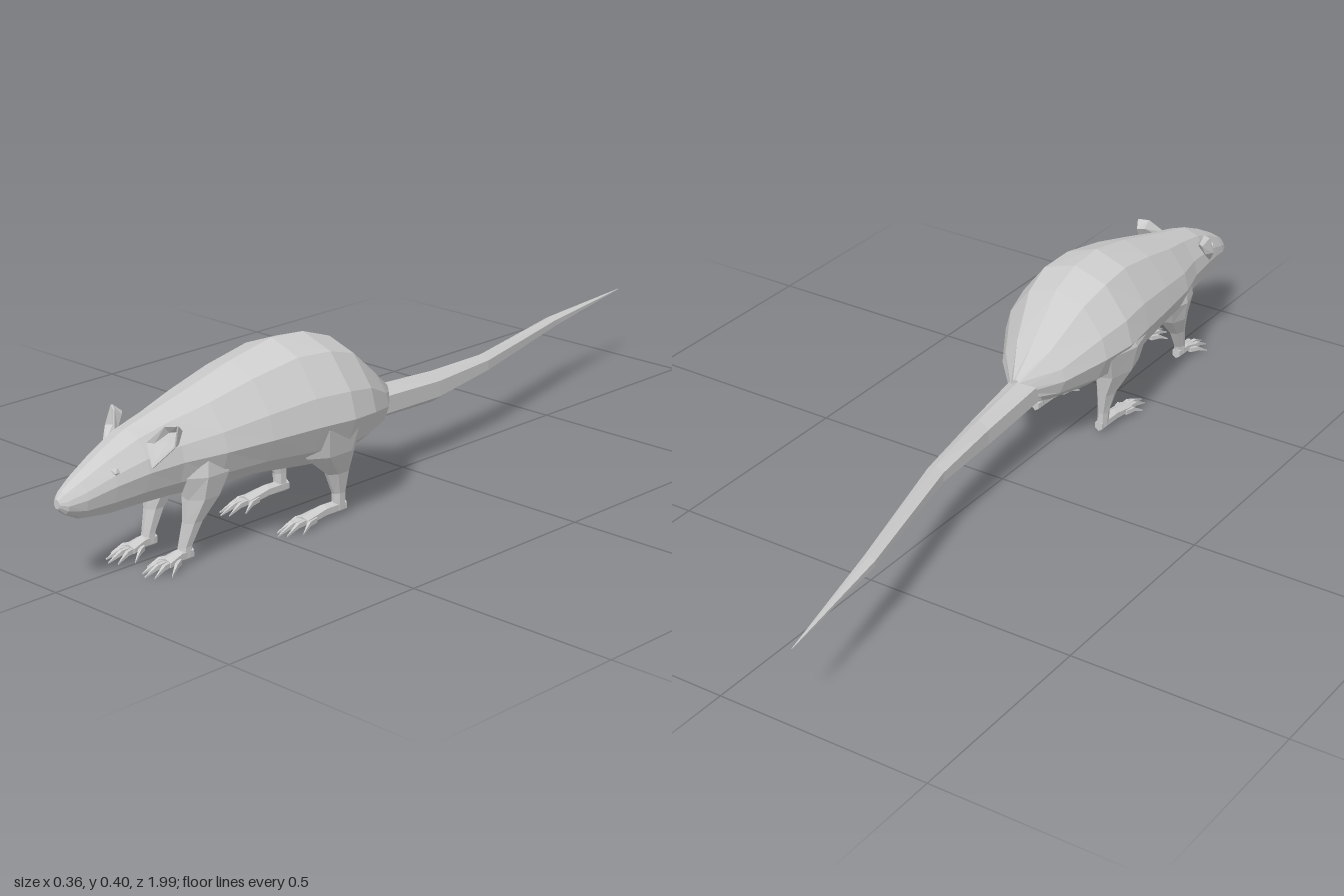
import * as THREE from 'three';

const MID = 0.016; // x of the animal's plane of symmetry
const material = new THREE.MeshStandardMaterial({ color: 0xcccccc, flatShading: true });

// Skin a list of rings (each a list of [x, y, z], counter-clockwise about the direction of travel)
function loft(name, rings) {
  const pos = [];
  const tri = (a, b, c) => pos.push(...a, ...b, ...c);
  const n = rings[0].length;
  const centre = (r) => [0, 1, 2].map((k) => r.reduce((sum, p) => sum + p[k], 0) / n);
  const first = rings[0], last = rings[rings.length - 1];
  const c0 = centre(first), c1 = centre(last);
  for (let j = 0; j < n; j++) {
    const k = (j + 1) % n;
    for (let i = 0; i < rings.length - 1; i++) {
      const a = rings[i], b = rings[i + 1];
      tri(a[j], a[k], b[k]);
      tri(a[j], b[k], b[j]);
    }
    tri(c0, first[k], first[j]);
    tri(c1, last[j], last[k]);
  }
  const geo = new THREE.BufferGeometry();
  geo.setAttribute('position', new THREE.Float32BufferAttribute(pos, 3));
  geo.computeVertexNormals();
  const mesh = new THREE.Mesh(geo, material);
  mesh.name = name;
  return mesh;
}

const circle = (n, fn) => Array.from({ length: n }, (_, i) => {
  const a = ((i + 0.5) / n) * Math.PI * 2;
  return fn(Math.cos(a), Math.sin(a));
});
// Upright ring for parts running towards +z; level ring for parts running down
const upright = (n, [x, y, z, rx, ry]) => circle(n, (c, s) => [x + c * rx, y + s * ry, z]);
const level = (n, [x, y, z, rx, rz]) => circle(n, (c, s) => [x + c * rx, y, z + s * rz]);

// Body and head: half outline scaled to each station, then mirrored
const OUTLINE = [[0, -1], [0.48, -0.88], [0.84, -0.5], [1, 0], [0.9, 0.36], [0.53, 0.83], [0, 1]];
function bodyRing([z, cx, w, top, mid, bottom]) {
  const half = OUTLINE.map(([u, v]) => [u * w, mid + v * (v > 0 ? top - mid : mid - bottom)]);
  const right = half.map(([x, y]) => [cx + x, y, z]);
  const left = half.slice(1, -1).reverse().map(([x, y]) => [cx - x, y, z]);
  return [...right, ...left];
}
function makeBody() {
  // z, centre x, half width, top, widest height, bottom
  const stations = [
    [0.07, 0.01, 0.016, 0.222, 0.19, 0.155],
    [0.15, 0.015, 0.085, 0.285, 0.205, 0.138],
    [0.25, 0.02, 0.138, 0.37, 0.23, 0.122],
    [0.33, 0.021, 0.156, 0.398, 0.238, 0.112],
    [0.42, 0.02, 0.147, 0.404, 0.24, 0.122],
    [0.54, 0.018, 0.132, 0.38, 0.238, 0.138],
    [0.65, 0.016, 0.114, 0.348, 0.235, 0.136],
    [0.74, 0.015, 0.085, 0.324, 0.23, 0.14],
    [0.82, 0.015, 0.072, 0.303, 0.225, 0.142],
    [0.89, 0.015, 0.055, 0.271, 0.212, 0.141],
    [0.95, 0.014, 0.038, 0.238, 0.195, 0.148],
    [0.985, 0.013, 0.023, 0.215, 0.188, 0.166],
    [0.998, 0.013, 0.009, 0.2, 0.19, 0.18],
  ];
  return loft('body', stations.map(bodyRing));
}

function makeTail() {
  const stations = [
    [-0.18, 0.178, -0.99, 0.001, 0.001],
    [-0.12, 0.177, -0.66, 0.017, 0.014],
    [-0.03, 0.171, -0.3, 0.023, 0.023],
    [-0.005, 0.168, -0.1, 0.03, 0.037],
    [0.008, 0.182, 0.12, 0.04, 0.04],
  ];
  return loft('tail', stations.map((s) => upright(6, s)));
}

// Foot with splayed, pointed toes; x is the distance from the symmetry plane
function makeFoot(name, side, x, heel, toeBase, toeTip, spread) {
  const foot = new THREE.Group();
  foot.name = name;
  const cx = MID + side * x;
  foot.add(loft('sole', [
    [cx, 0.022, heel, 0.011, 0.014],
    [cx, 0.024, (heel + toeBase) / 2, 0.015, 0.014],
    [cx, 0.017, toeBase, 0.02, 0.01],
  ].map((s) => upright(6, s))));
  for (let i = -2; i <= 2; i++) {
    const reach = (toeTip - toeBase) * (1 - 0.1 * i * i);
    const start = toeBase - 0.012 - 0.004 * i * i;
    foot.add(loft('toe', [
      [cx + i * 0.007, 0.017, start, 0.006, 0.008],
      [cx + i * spread * 0.33, 0.016, start + reach * 0.6, 0.006, 0.007],
      [cx + i * spread * 0.5, 0.003, start + reach + 0.01, 0.001, 0.002],
    ].map((s) => upright(4, s))));
  }
  return foot;
}

// Leg rings: distance from symmetry plane, y, z, half width, half depth
const FRONT_LEG = [
  [0.068, 0.25, 0.66, 0.03, 0.06],
  [0.067, 0.19, 0.665, 0.038, 0.065],
  [0.06, 0.14, 0.675, 0.034, 0.046],
  [0.059, 0.09, 0.7, 0.018, 0.026],
  [0.056, 0.04, 0.72, 0.012, 0.018],
  [0.056, 0.018, 0.725, 0.013, 0.018],
];
const HIND_LEG = [
  [0.095, 0.28, 0.34, 0.04, 0.07],
  [0.1, 0.225, 0.35, 0.054, 0.105],
  [0.099, 0.16, 0.35, 0.041, 0.075],
  [0.094, 0.105, 0.32, 0.02, 0.034],
  [0.09, 0.055, 0.312, 0.013, 0.018],
  [0.089, 0.018, 0.312, 0.012, 0.018],
];
const makeLeg = (name, side, rings) =>
  loft(name, rings.map(([x, ...rest]) => level(7, [MID + side * x, ...rest])));

// Cupped ear: back, rim and sunken inside
function makeEar(name, side) {
  const rim = [[0.077, 0.237, 0.82], [0.105, 0.277, 0.785], [0.1, 0.318, 0.772],
    [0.077, 0.315, 0.785], [0.05, 0.282, 0.81]];
  const shrink = (k, dz) => rim.map(([x, y, z]) =>
    [0.078 + (x - 0.078) * k, 0.278 + (y - 0.278) * k, z + dz]);
  const rings = [shrink(0.6, -0.022), shrink(1, -0.004), rim, shrink(0.6, -0.012)].map((ring) => {
    const placed = ring.map(([x, y, z]) => [MID + side * x, y, z]);
    return side > 0 ? placed : placed.reverse();
  });
  return loft(name, rings);
}

function makeEye(name, side) {
  const eye = new THREE.Mesh(new THREE.IcosahedronGeometry(0.01, 0), material);
  eye.name = name;
  eye.position.set(MID + side * 0.042, 0.238, 0.885);
  return eye;
}

export function createModel() {
  const model = new THREE.Group();
  model.name = 'rodent';
  model.add(makeBody(), makeTail());
  for (const [label, side] of [['left', 1], ['right', -1]]) {
    model.add(
      makeLeg(`${label}FrontLeg`, side, FRONT_LEG),
      makeFoot(`${label}FrontFoot`, side, 0.056, 0.705, 0.775, 0.832, 0.038),
      makeLeg(`${label}HindLeg`, side, HIND_LEG),
      makeFoot(`${label}HindFoot`, side, 0.088, 0.295, 0.42, 0.492, 0.03),
      makeEar(`${label}Ear`, side),
      makeEye(`${label}Eye`, side),
    );
  }
  return model;
}
